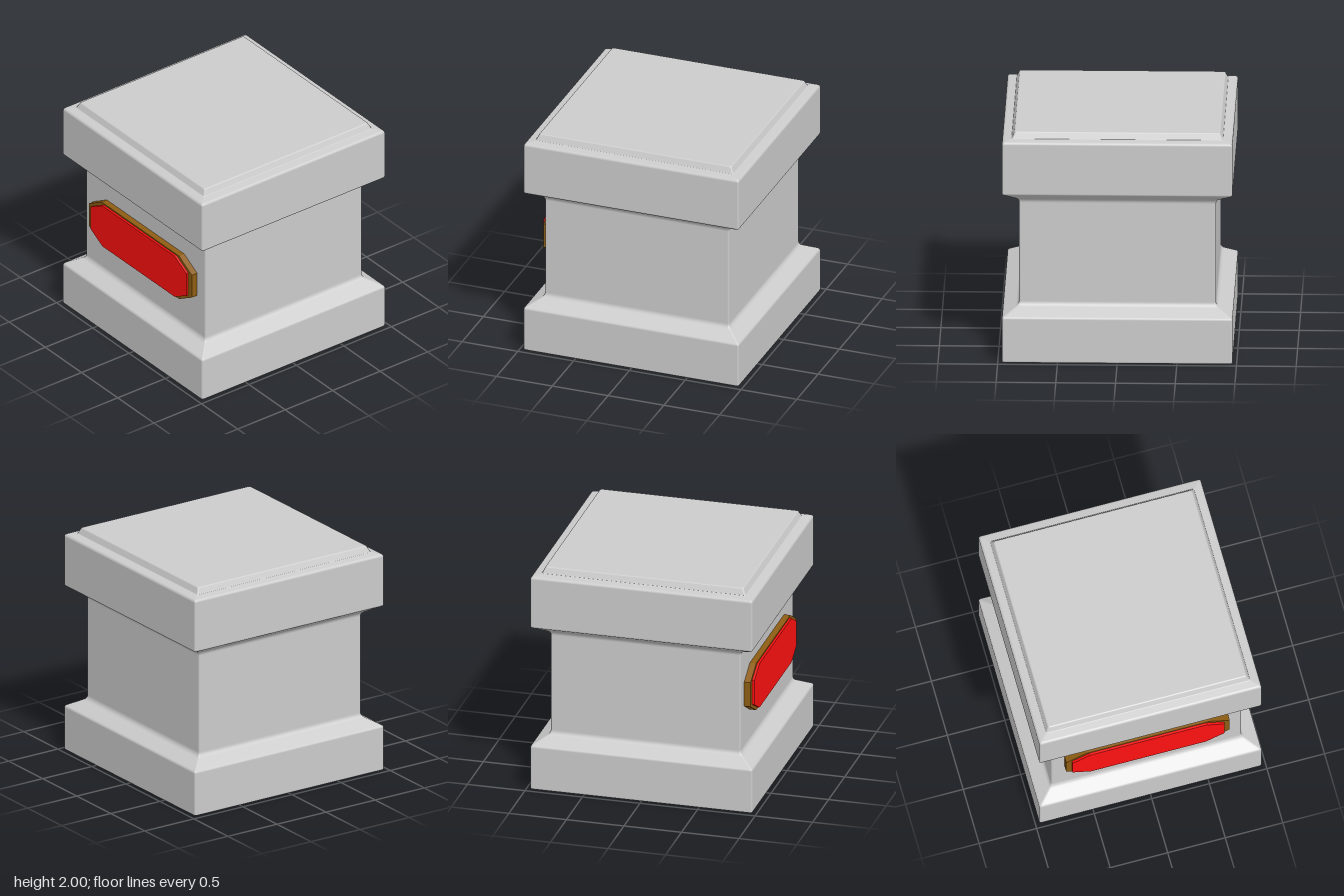
import * as THREE from 'three';

// Pedestal outline: half width, height, fillet radius
const PROFILE = [
  [0, 0, 0], [0.965, 0, 0.018], [0.965, 0.395, 0.025], [0.825, 0.475, 0.05],
  [0.825, 1.395, 0.05], [0.965, 1.475, 0.02], [0.965, 1.932, 0.025],
  [0.885, 1.945, 0.008], [0.86, 2, 0.015], [0, 2, 0],
];

// Rounds each corner of the outline; returns points with their normals
function filletProfile(points, steps = 5) {
  const out = [];
  points.forEach(([h, y, r], k) => {
    const p = new THREE.Vector2(h, y);
    const dir = (a, b) => new THREE.Vector2(b[0] - a[0], b[1] - a[1]).normalize();
    if (k === 0 || k === points.length - 1) {
      out.push({ p, n: new THREE.Vector2(0, k === 0 ? -1 : 1) });
      return;
    }
    const d1 = dir(points[k - 1], points[k]);
    const d2 = dir(points[k], points[k + 1]);
    const turn = Math.atan2(d1.cross(d2), d1.dot(d2));
    const side = Math.sign(turn);
    const n1 = new THREE.Vector2(d1.y, -d1.x);
    const start = p.clone().addScaledVector(d1, -r * Math.tan(Math.abs(turn) / 2));
    const center = start.addScaledVector(n1, -side * r);
    for (let i = 0; i <= steps; i++) {
      const a = n1.angle() + (turn * i) / steps;
      const n = new THREE.Vector2(Math.cos(a), Math.sin(a));
      out.push({ p: center.clone().addScaledVector(n, side * r), n });
    }
  });
  return out;
}

// Sweeps the outline around a square with slightly rounded corners
function squareLathe(profile, cornerRadius, steps = 4) {
  const ring = [];
  for (let c = 0; c < 4; c++) {
    const mid = (c + 0.5) * Math.PI / 2;
    for (let i = 0; i <= steps; i++) {
      const a = (c + i / steps) * Math.PI / 2;
      ring.push({ sx: Math.sign(Math.cos(mid)), sz: Math.sign(Math.sin(mid)), cos: Math.cos(a), sin: Math.sin(a) });
    }
  }
  const pos = [], nor = [], idx = [], m = ring.length;
  profile.forEach(({ p, n }, j) => {
    const r = Math.min(cornerRadius, p.x);
    ring.forEach((q, i) => {
      pos.push(q.sx * (p.x - r) + r * q.cos, p.y, q.sz * (p.x - r) + r * q.sin);
      nor.push(n.x * q.cos, n.y, n.x * q.sin);
      if (j === profile.length - 1) return;
      const a = j * m + i, b = j * m + (i + 1) % m;
      idx.push(a, a + m, b, b, a + m, b + m);
    });
  });
  const g = new THREE.BufferGeometry();
  g.setAttribute('position', new THREE.Float32BufferAttribute(pos, 3));
  g.setAttribute('normal', new THREE.Float32BufferAttribute(nor, 3));
  g.setIndex(idx);
  return g;
}

// Elongated octagon plate, extruded from z0 to z1
function octagonPlate(name, color, w, h, flatW, flatH, z0, z1) {
  const corners = [
    [w, -flatH], [w, flatH], [flatW, h], [-flatW, h],
    [-w, flatH], [-w, -flatH], [-flatW, -h], [flatW, -h],
  ];
  const shape = new THREE.Shape(corners.map(([x, y]) => new THREE.Vector2(x, y)));
  const g = new THREE.ExtrudeGeometry(shape, { depth: z1 - z0, bevelEnabled: false });
  const mesh = new THREE.Mesh(g, new THREE.MeshStandardMaterial({ color }));
  mesh.position.z = z0;
  mesh.name = name;
  return mesh;
}

export function createModel() {
  const model = new THREE.Group();
  model.name = 'pedestal';

  // Stone body: base, shaft and stepped cap in one sweep
  const body = new THREE.Mesh(
    squareLathe(filletProfile(PROFILE), 0.015),
    new THREE.MeshStandardMaterial({ color: 0xcccccc }),
  );
  body.name = 'pedestalBody';
  model.add(body);

  // Front plaque: brown backing with a red panel on it
  const plaque = new THREE.Group();
  plaque.name = 'plaque';
  plaque.position.y = 0.97;
  plaque.add(
    octagonPlate('plaqueFrame', 0x8e5d12, 0.71, 0.212, 0.535, 0.11, 0.815, 0.88),
    octagonPlate('plaquePanel', 0xff1010, 0.66, 0.2, 0.5, 0.11, 0.86, 0.9),
  );
  model.add(plaque);
  return model;
}
